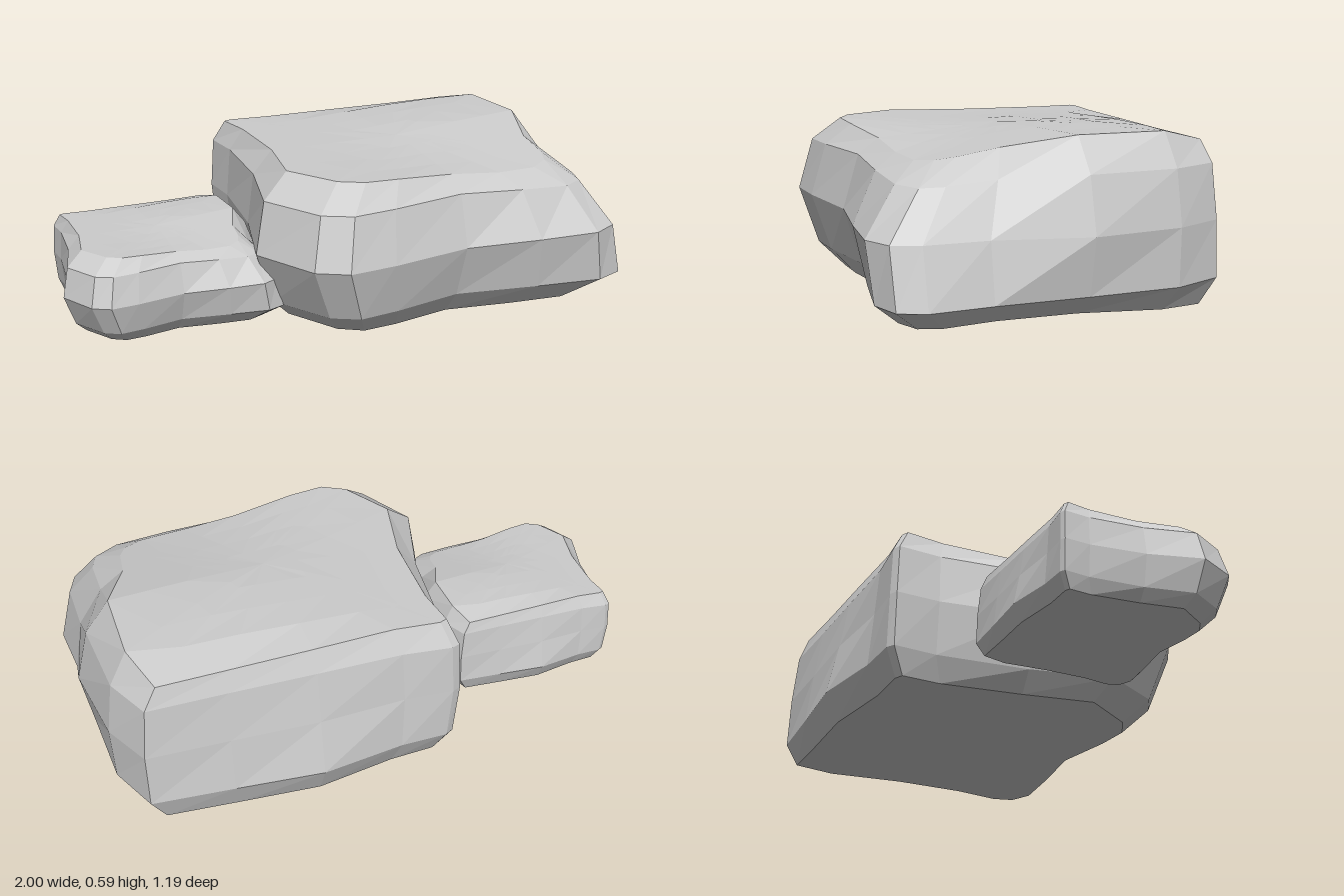
import * as THREE from 'three';

// Widest outline of a slab seen from above, [x, z], clockwise from the back left corner
const OUTLINE = [
  [-0.17, -0.575], [0, -0.57], [0.3, -0.6], [0.6, -0.57], [0.88, -0.545],
  [0.96, -0.37], [1, -0.06], [0.985, 0.25], [0.99, 0.46], [0.95, 0.55],
  [0.84, 0.595], [0.6, 0.57], [0.3, 0.525], [0, 0.56], [-0.17, 0.565],
  [-0.27, 0.5], [-0.37, 0.26], [-0.26, -0.06], [-0.2, -0.4], [-0.2, -0.56],
];
const CX = 0.315, HX = 0.685, HZ = 0.6;

// Uneven surfaces, with sx and sz running from -1 to 1 across the slab
function topY(sx, sz) {
  const right = 0.59 - 0.11 * Math.max(0, sz + 0.1) - 0.16 * Math.max(0, -sz - 0.6);
  return THREE.MathUtils.lerp(0.562, right, THREE.MathUtils.smoothstep(sx, -0.6, 0.5));
}
const upperY = (sx, sz) => 0.48 - 0.06 * Math.max(0, sx) * Math.max(0, sz);
const bottomY = (sx, sz) =>
  0.04 - Math.abs(sz) * (sz < 0 ? 0.04 : 0.025) * (1 - (sx < 0 ? 0.9 : 0.4) * sx * sx);

// Rings from the underside to the top: height, and how far each side steps in.
// Left and right are given from back to front; back and front from left to right.
const BOTTOM = { y: bottomY, left: [0.06, 0.12, 0.18], right: [0.06, 0.13, 0.12], back: [0.07, 0.05, 0.03], front: [0.14, 0.15, 0.11] };
const TOP = { y: topY, left: [0.05, 0.12, 0.17], right: [0.07, 0.1, 0.14, 0.23, 0.24], back: [0.05, 0.1, 0.03], front: [0.13, 0.14, 0.22] };
const CAPS = [0.25, 0.5, 0.75];
const LEVELS = [
  ...CAPS.map((cap) => ({ ...BOTTOM, cap })),
  BOTTOM,
  { y: () => 0.11, left: [0.02, 0.05, 0.1], right: [0, 0.01, 0.04, 0.01, 0], back: [0.02, 0, 0], front: [0.05, 0.07, 0] },
  { y: () => 0.3, left: [0, 0, 0], right: [0, 0, 0, 0.06, 0.05], back: [0, 0.04, 0], front: [0, 0, 0] },
  { y: upperY, left: [0.01, 0.03, 0.05], right: [0.02, 0.03, 0.05, 0.15, 0.13], back: [0, 0.07, 0.01], front: [0.04, 0.06, 0.13] },
  TOP,
  ...CAPS.toReversed().map((cap) => ({ ...TOP, cap })),
];

// Value along a side, from evenly spaced samples over s = -1 to 1
function along(values, s) {
  const t = THREE.MathUtils.clamp((s + 1) / 2, 0, 1) * (values.length - 1);
  const i = Math.min(Math.floor(t), values.length - 2);
  return THREE.MathUtils.lerp(values[i], values[i + 1], t - i);
}

function ringPoint(level, [x, z]) {
  const sx = (x - CX) / HX, sz = z / HZ, cap = level.cap ?? 1;
  const inX = along(sx > 0 ? level.right : level.left, sz);
  const inZ = along(sz > 0 ? level.front : level.back, sx);
  const dx = (x - sx * inX - CX) * cap, dz = (z - sz * inZ) * cap;
  return [CX + dx, level.y(dx / HX, dz / HZ), dz];
}

function slabGeometry() {
  const n = OUTLINE.length, pos = [], idx = [];
  for (const level of LEVELS) for (const p of OUTLINE) pos.push(...ringPoint(level, p));
  const low = LEVELS.length * n, high = low + 1, last = low - n;
  pos.push(CX, bottomY(0, 0), 0, CX, topY(0, 0), 0);
  for (let i = 0; i < n; i++) {
    const k = (i + 1) % n;
    for (let j = 0; j < last; j += n) {
      idx.push(j + i, j + n + i, j + k, j + k, j + n + i, j + n + k);
    }
    idx.push(low, i, k, high, last + k, last + i);
  }
  const geo = new THREE.BufferGeometry();
  geo.setAttribute('position', new THREE.Float32BufferAttribute(pos, 3));
  geo.setIndex(idx);
  const flat = geo.toNonIndexed();
  flat.computeVertexNormals();
  return flat;
}

export function createModel() {
  const group = new THREE.Group();
  group.name = 'flatRocks';
  const material = new THREE.MeshStandardMaterial({ color: 0xcccccc, flatShading: true });
  const geometry = slabGeometry();

  const large = new THREE.Mesh(geometry, material);
  large.name = 'largeRock';

  // the small rock is the same slab at about half size
  const small = new THREE.Mesh(geometry, material);
  small.name = 'smallRock';
  small.scale.setScalar(0.545);
  small.position.set(-0.798, 0.05, -0.015);

  group.add(large, small);
  return group;
}
